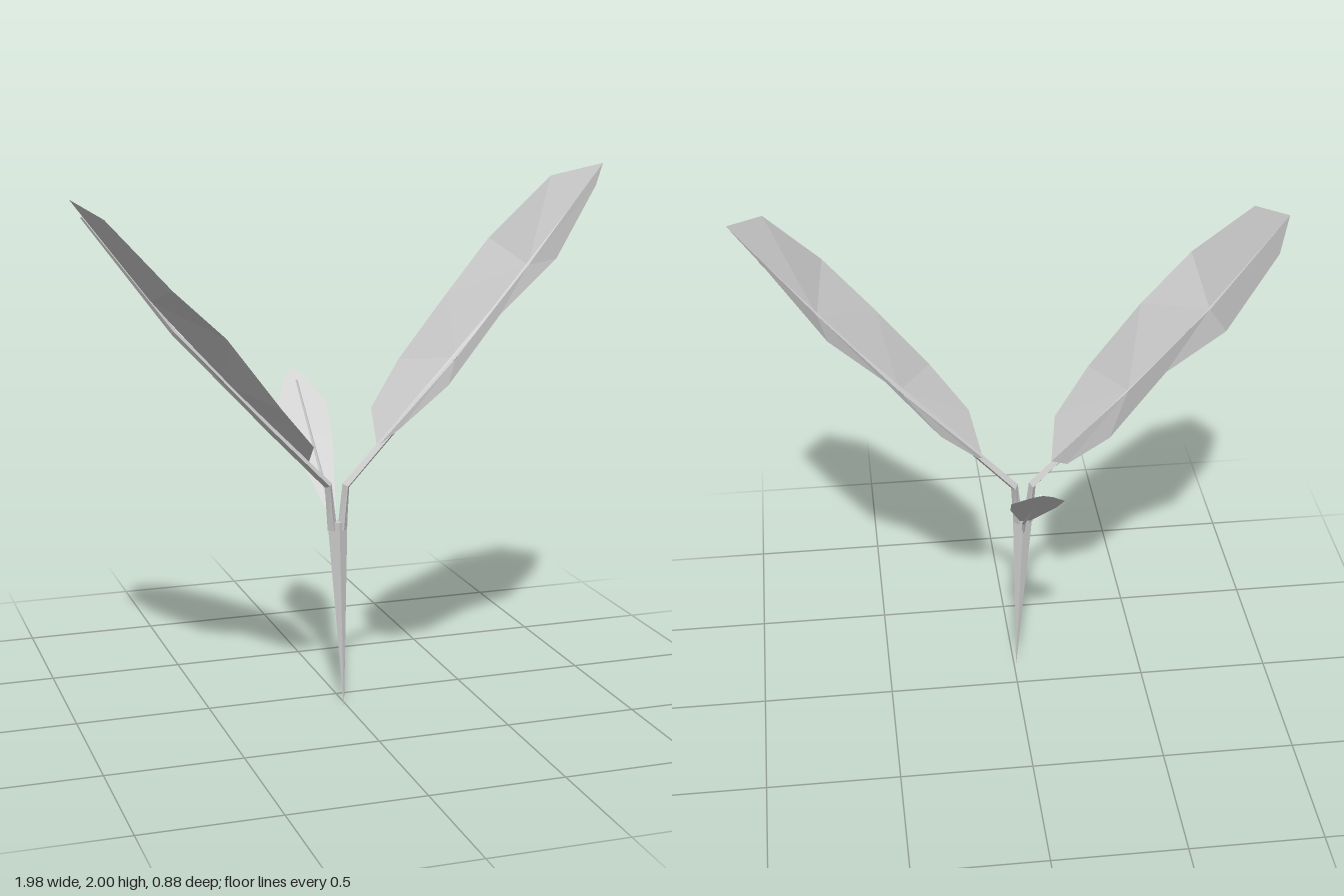
import * as THREE from 'three';

const V = (x, y, z) => new THREE.Vector3(x, y, z);

// Faceted geometry from a list of triangle corners
function facets(corners) {
  const geo = new THREE.BufferGeometry().setFromPoints(corners);
  geo.computeVertexNormals();
  return geo;
}

// Diamond-section stalk; rows are [x, y, z, halfWidth, halfThickness]
function stalk(rows, side) {
  const pts = rows.map(r => V(r[0], r[1], r[2]));
  const rings = rows.map((r, i) => {
    const tangent = pts[Math.min(i + 1, pts.length - 1)].clone().sub(pts[Math.max(i - 1, 0)]).normalize();
    const normal = tangent.cross(side).normalize();
    return [[side, r[3]], [normal, r[4]], [side, -r[3]], [normal, -r[4]]]
      .map(([dir, d]) => pts[i].clone().addScaledVector(dir, d));
  });
  const tris = [];
  for (let i = 0; i < rings.length - 1; i++) {
    const a = rings[i], b = rings[i + 1];
    for (let j = 0; j < 4; j++) {
      const k = (j + 1) % 4;
      tris.push(a[j], a[k], b[k], a[j], b[k], b[j]);
    }
  }
  const s = rings[0], e = rings[rings.length - 1];
  tris.push(s[0], s[2], s[1], s[0], s[3], s[2], e[0], e[1], e[2], e[0], e[2], e[3]);
  return facets(tris);
}

// Folded leaf: two hubs on the midrib, each fanning out to its half of the rim
function foldedLeaf(base, hubs, tip, rim) {
  const z0 = 0.13, half = [0.17, 0.26, 0.26, 0.31, 0.195];
  const [h1, h2] = hubs.map(p => V(p[0], p[1], z0));
  const tris = [];
  for (const s of [1, -1]) {
    const edge = [V(base[0], base[1], z0),
      ...rim.map((p, i) => V(p[0], p[1], z0 + s * half[i])),
      V(tip[0], tip[1], z0)];
    const add = (a, b, c) => (s * tip[0] > 0 ? tris.push(a, b, c) : tris.push(a, c, b));
    for (let i = 0; i < 6; i++) add(i < 3 ? h1 : h2, edge[i], edge[i + 1]);
    add(h1, edge[3], h2);
  }
  return facets(tris);
}

export function createModel() {
  const group = new THREE.Group();
  const mat = new THREE.MeshStandardMaterial({ color: 0xcccccc, side: THREE.DoubleSide });
  mat.name = 'pale grey';
  const add = (name, geo) => {
    const mesh = new THREE.Mesh(geo, mat);
    mesh.name = name;
    group.add(mesh);
  };
  const zAxis = V(0, 0, 1), xAxis = V(1, 0, 0);

  // Stem tapering to a point at the ground
  add('stem', stalk([
    [-0.01, 0, 0.125, 0.001, 0.001],
    [-0.036, 0.72, 0.128, 0.024, 0.038],
  ], zAxis));

  // Two branches that run on as the midribs of the large leaves
  add('leftBranch', stalk([
    [-0.018, 0.69, 0.128, 0.022, 0.018],
    [-0.004, 0.855, 0.128, 0.026, 0.015],
    [0.21, 1.085, 0.13, 0.02, 0.013],
    [0.56, 1.465, 0.13, 0.013, 0.011],
    [0.885, 1.86, 0.13, 0.006, 0.005],
  ], zAxis));
  add('rightBranch', stalk([
    [-0.056, 0.69, 0.128, 0.022, 0.018],
    [-0.072, 0.86, 0.128, 0.026, 0.015],
    [-0.29, 1.085, 0.13, 0.02, 0.013],
    [-0.64, 1.46, 0.13, 0.013, 0.011],
    [-0.95, 1.87, 0.13, 0.006, 0.005],
  ], zAxis));

  // Large leaves
  add('leftLeaf', foldedLeaf([0.115, 0.99], [[0.42, 1.305], [0.7, 1.635]], [0.99, 2],
    [[0.15, 1.1], [0.29, 1.26], [0.48, 1.5], [0.67, 1.7], [0.87, 1.94]]));
  add('rightLeaf', foldedLeaf([-0.145, 0.955], [[-0.43, 1.245], [-0.72, 1.57]], [-0.99, 1.93],
    [[-0.18, 1.05], [-0.32, 1.21], [-0.515, 1.47], [-0.71, 1.65], [-0.91, 1.88]]));

  // Small back leaf with its midrib lying on the upper face
  add('backBranch', stalk([
    [-0.036, 0.64, 0.118, 0.006, 0.008],
    [-0.036, 0.705, 0.092, 0.007, 0.008],
    [-0.036, 1.15, -0.385, 0.004, 0.006],
  ], xAxis));
  const outline = [[0.02, 0.05], [0.085, -0.2], [0.096, -0.32], [0.04, -0.41], [0, -0.445]];
  const onLeaf = (dx, z) => V(-0.036 + dx, 0.79 - 0.9 * z, z);
  const tris = [];
  for (let i = 0; i < outline.length - 1; i++) {
    const [[w, z], [w2, z2]] = [outline[i], outline[i + 1]];
    const a = onLeaf(-w, z), b = onLeaf(w, z), c = onLeaf(w2, z2), d = onLeaf(-w2, z2);
    tris.push(a, b, c);
    if (w2 > 0) tris.push(a, c, d);
  }
  add('backLeaf', facets(tris));

  return group;
}
